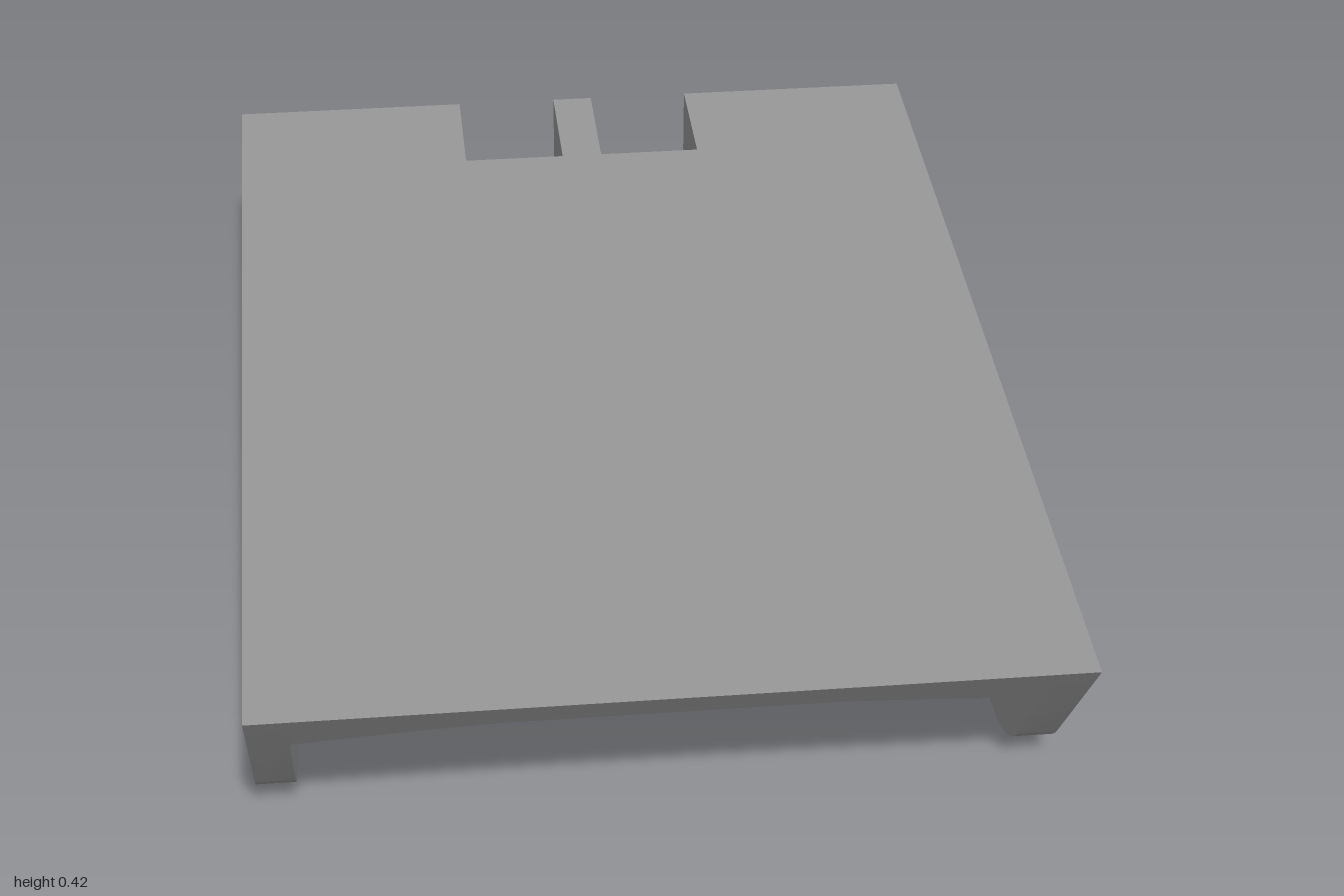
import * as THREE from 'three';
import { toCreasedNormals } from 'three/addons/utils/BufferGeometryUtils.js';

const grey = new THREE.MeshStandardMaterial({ color: 0x999999 });
grey.name = 'grey plastic';

const H = 0.42, W = 0.7, IN = 0.63;      // height, half width, inner face of side walls
const BACK = -1, NOTCH = -0.76, BAY = -0.7; // z of rear face, notch end, bay end
const CEIL = 0.24, RECESS = 0.05;
const slopeZ = y => 1 - (H - y) * 0.23 / 0.32; // sloped front face

const poly = pts => new THREE.Shape(pts.map(p => new THREE.Vector2(p[0], p[1])));
const rect = (x0, y0, x1, y1) => poly([[x0, y0], [x1, y0], [x1, y1], [x0, y1]]);
const extrude = (shape, depth, extra = {}) =>
  new THREE.ExtrudeGeometry(shape, { depth, bevelEnabled: false, curveSegments: 24, ...extra });

// Plan outline in (x, z) raised from y0 to y1
function raise(shape, y0, y1, bevel = 0) {
  const opts = bevel ? { bevelEnabled: true, bevelSize: bevel, bevelThickness: bevel, bevelOffset: -bevel, bevelSegments: 4 } : {};
  return extrude(shape, y1 - y0 - 2 * bevel, opts).rotateX(Math.PI / 2).translate(0, y1 - bevel, 0);
}

// Make the front vertices follow the slope, set back by the recess
function slopeFront(geo) {
  const p = geo.attributes.position;
  for (let i = 0; i < p.count; i++) {
    if (p.getZ(i) > 0.8) p.setZ(i, slopeZ(p.getY(i)) - RECESS);
  }
  geo.computeVertexNormals();
  return geo;
}

export function createModel() {
  const model = new THREE.Group();
  model.name = 'slidingHousing';
  const add = (name, geo) => {
    const mesh = new THREE.Mesh(toCreasedNormals(geo, 0.5), grey);
    mesh.name = name;
    model.add(mesh);
  };

  // Rear connector block: notches, contact grooves and blade slots
  const SKIN = 0.025;
  const half = [
    [0.24, H], [0.24, 0.285], [0.45, 0.285], [0.45, 0.24], [0.287, 0.24], [0.287, 0.035],
    [0.253, 0.035], [0.253, 0.235], [0.23, 0.235], [0.23, 0.16], [0.17, 0.16], [0.17, 0.235],
    [0.11, 0.235], [0.11, 0.16], [0.05, 0.16], [0.05, 0.235], [0.04, 0.235], [0.04, H],
  ];
  const mirrored = half.map(([x, y]) => [-x, y]).reverse();
  const connector = poly([[-W, SKIN], [W, SKIN], [W, H], ...half, ...mirrored, [-W, H]]);
  for (const [x, y] of [[0.565, 0.3], [0.468, 0.095], [0, 0.095], [-0.468, 0.095], [-0.565, 0.3]]) {
    connector.holes.push(new THREE.Path().absarc(x, y, 0.062, 0, Math.PI * 2, true));
  }
  add('connectorBlock', extrude(connector, NOTCH - BACK).translate(0, 0, BACK));

  // Bay end wall with the two blade slots passing through
  const wall = rect(-W, SKIN, W, H);
  for (const x of [-0.27, 0.27]) wall.holes.push(rect(x - 0.017, 0.035, x + 0.017, 0.225));
  add('bayEndWall', extrude(wall, BAY - NOTCH).translate(0, 0, NOTCH));

  // Bottom skin with engraved polarity marks
  const skin = rect(-W, BACK, W, BAY);
  const a = 0.09, t = 0.016, px = 0.31, pz = -0.83;
  skin.holes.push(poly([
    [-a, -t], [-t, -t], [-t, -a], [t, -a], [t, -t], [a, -t],
    [a, t], [t, t], [t, a], [-t, a], [-t, t], [-a, t],
  ].map(([x, z]) => [px + x, pz + z])));
  skin.holes.push(rect(-0.32 - 0.07, pz - t, -0.32 + 0.07, pz + t));
  add('rearBottomSkin', raise(skin, 0, SKIN));

  // Roof over the bay, the lower layer holding the latch pocket
  const lower = rect(-IN, BAY, IN, 0.9);
  lower.holes.push(rect(-0.3, 0.53, 0.3, 0.72));
  add('roofLower', slopeFront(raise(lower, CEIL, 0.34)));
  add('roofUpper', slopeFront(raise(rect(-IN, BAY, IN, 0.9), 0.34, H)));

  // Front visor with an arched lower edge, sheared to the slope
  const arch = [];
  for (let i = 0; i <= 32; i++) {
    const x = IN * (1 - i / 16);
    arch.push([x, 0.36 - 0.06 * (x / IN) ** 2]);
  }
  const visor = extrude(poly([[-IN, H], [IN, H], ...arch]), RECESS);
  const vp = visor.attributes.position;
  for (let i = 0; i < vp.count; i++) vp.setZ(i, vp.getZ(i) + slopeZ(vp.getY(i)) - RECESS);
  visor.computeVertexNormals();
  add('frontVisor', visor);

  // Side walls with the curved lower front corner
  const side = new THREE.Shape();
  side.moveTo(BAY, 0);
  side.lineTo(0.55, 0);
  side.bezierCurveTo(0.64, 0, 0.72, 0.035, 0.77, 0.1);
  side.lineTo(1, H);
  side.lineTo(BAY, H);
  for (const s of [-1, 1]) {
    const x1 = s > 0 ? W : -IN;
    add(s > 0 ? 'leftSideWall' : 'rightSideWall',
      extrude(side, W - IN).rotateY(-Math.PI / 2).translate(x1, 0, 0));

    // Stepped wall above the rail
    add(s > 0 ? 'leftBayWall' : 'rightBayWall', raise(poly([
      [0.65, BAY], [0.4, BAY], [0.4, -0.33], [0.51, -0.15], [0.53, -0.15], [0.53, 0],
      [0.59, 0], [0.59, 0.2], [0.61, 0.2], [0.61, 0.42], [0.65, 0.42],
    ].map(([x, z]) => [s * x, z])), 0.1, CEIL));

    // Guide rail below, with rounded edges and a swept front end
    const end = s > 0 ? 0.25 : 0.34;
    const rail = new THREE.Shape();
    rail.moveTo(s * 0.67, -0.73);
    rail.lineTo(s * 0.4, -0.73);
    rail.lineTo(s * 0.4, end - 0.05);
    rail.quadraticCurveTo(s * 0.4, end, s * 0.45, end);
    rail.lineTo(s * 0.67, end);
    add(s > 0 ? 'leftGuideRail' : 'rightGuideRail', raise(rail, 0, 0.13, 0.018));

    // Lower ledge in front of the rail
    const inner = s > 0 ? 0.54 : 0.402;
    const ledge = new THREE.Shape();
    ledge.moveTo(s * 0.67, 0.15);
    ledge.lineTo(s * inner, 0.15);
    ledge.lineTo(s * inner, 0.37);
    ledge.quadraticCurveTo(s * inner, 0.43, s * (inner + 0.06), 0.43);
    ledge.quadraticCurveTo(s * 0.63, 0.44, s * 0.67, 0.5);
    add(s > 0 ? 'leftRailLedge' : 'rightRailLedge', raise(ledge, 0, 0.11, 0.018));
  }
  return model;
}
